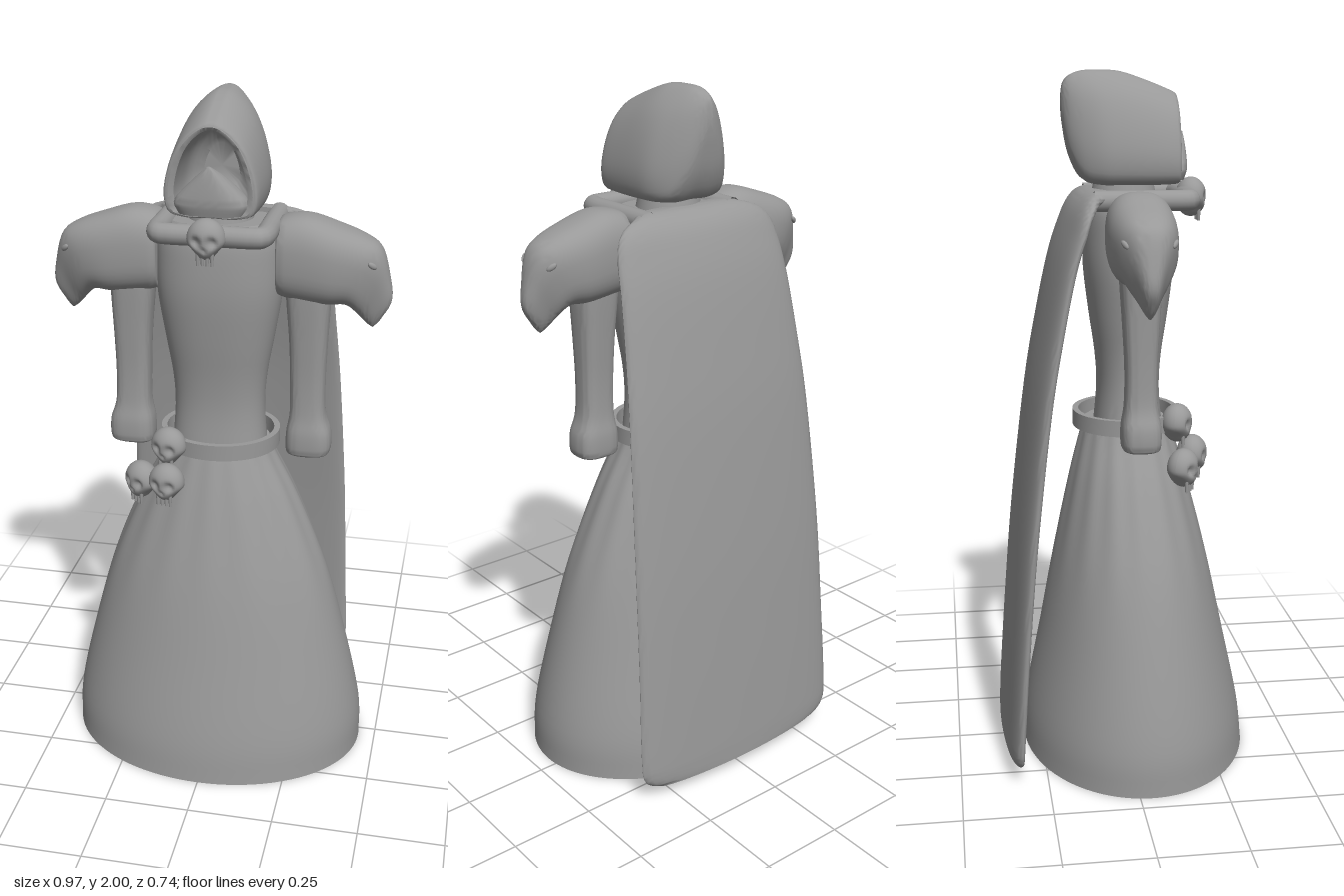
import * as THREE from 'three';
import { toCreasedNormals } from 'three/addons/utils/BufferGeometryUtils.js';

const grey = new THREE.MeshStandardMaterial({ color: 0x999999, side: THREE.DoubleSide });
grey.name = 'stone grey';

const V = (x, y, z) => new THREE.Vector3(x, y, z);
const spow = (v, e) => Math.sign(v) * Math.abs(v) ** e;

function add(parent, name, geometry) {
  const mesh = new THREE.Mesh(geometry, grey);
  mesh.name = name;
  parent.add(mesh);
  return mesh;
}

// Smoothly resample a short table of section rows
function resample(rows, n) {
  const curve = new THREE.CubicInterpolant(rows.map((_, i) => i), rows.flat(), rows[0].length, []);
  return Array.from({ length: n + 1 }, (_, i) => [...curve.evaluate((i / n) * (rows.length - 1))]);
}

// Skin a list of closed rings, with optional end caps
function loft(rings, capStart = true, capEnd = true, crease = 0.8) {
  const n = rings[0].length, index = [], points = rings.flat();
  for (let r = 0; r < rings.length - 1; r++) {
    for (let i = 0; i < n; i++) {
      const a = r * n + i, b = r * n + (i + 1) % n;
      index.push(a, a + n, b, b, a + n, b + n);
    }
  }
  const cap = (r, flip) => {
    const c = points.length;
    points.push(rings[r].reduce((s, p) => s.add(p), V(0, 0, 0)).divideScalar(n));
    for (let i = 0; i < n; i++) {
      const a = r * n + i, b = r * n + (i + 1) % n;
      index.push(c, flip ? b : a, flip ? a : b);
    }
  };
  if (capStart) cap(0, false);
  if (capEnd) cap(rings.length - 1, true);
  const g = new THREE.BufferGeometry().setFromPoints(points);
  g.setIndex(index);
  return toCreasedNormals(g, crease);
}

// Horizontal ring; e below 1 makes it boxier, ripple adds folds
function ring(cx, y, cz, rx, rz, e = 1, ripple = 0, n = 48) {
  return Array.from({ length: n }, (_, i) => {
    const t = (i / n) * Math.PI * 2, k = 1 + ripple * Math.cos(t * 16);
    return V(cx + rx * k * spow(Math.cos(t), e), y, cz + rz * k * spow(Math.sin(t), e));
  });
}

function skull() {
  const group = new THREE.Group();
  const g = new THREE.SphereGeometry(1, 36, 28), p = g.attributes.position, v = V(0, 0, 0);
  const pits = [[-0.4, -0.02, 0.9, 0.24, 0.4], [0.4, -0.02, 0.9, 0.24, 0.4], [0, -0.38, 0.9, 0.13, 0.2]];
  for (let i = 0; i < p.count; i++) {
    v.fromBufferAttribute(p, i);
    const low = THREE.MathUtils.smoothstep(-v.y, 0.05, 0.75);
    let z = v.z;
    for (const [x, y, pz, r, depth] of pits) {
      z -= depth * Math.exp(-(((v.x - x) ** 2 + (v.y - y) ** 2 + (v.z - pz) ** 2) / (r * r)));
    }
    p.setXYZ(i, v.x * (1 - 0.3 * low) * 0.053, v.y * 0.056, z * 0.045);
  }
  g.computeVertexNormals();
  add(group, 'cranium', g);
  for (let i = -1.5; i <= 1.5; i++) {
    add(group, 'tooth', new THREE.CylinderGeometry(0.006, 0.004, 0.035, 8)).position.set(i * 0.013, -0.05, 0.02);
  }
  return group;
}

export function createModel() {
  const model = new THREE.Group();
  model.name = 'hoodedFigure';

  // Hollow skirt: inside wall up, then outside wall from hem to waist
  const skirtRows = resample([[0, 0.45, 0.335, 0.036], [0.13, 0.444, 0.322, 0.034], [0.35, 0.395, 0.277, 0.032],
    [0.6, 0.325, 0.227, 0.028], [0.82, 0.235, 0.175, 0.022], [0.95, 0.168, 0.14, 0.018], [1.0, 0.145, 0.125, 0.016]], 30);
  const outer = skirtRows.map(([y, rx, rz, z]) => ring(0, y, z, rx, rz, 1, 0.012 * THREE.MathUtils.smoothstep(y, 0.45, 0.85), 96));
  const inner = skirtRows.map(([y, rx, rz, z]) => ring(0, y * 0.98, z, rx - 0.015, rz - 0.015, 1, 0, 96)).reverse();
  add(model, 'skirt', loft([...inner, ...outer]));

  // Torso and neck
  const torsoRows = resample([[0.98, 0.14, 0.1], [1.1, 0.131, 0.09], [1.2, 0.136, 0.095], [1.32, 0.156, 0.112],
    [1.45, 0.176, 0.127], [1.55, 0.178, 0.127], [1.62, 0.172, 0.12], [1.66, 0.145, 0.1]], 28);
  add(model, 'torso', loft(torsoRows.map(([y, rx, rz]) => ring(0, y, 0.022, rx, rz, 0.85))));
  add(model, 'neck', new THREE.CylinderGeometry(0.08, 0.1, 0.1, 32)).position.set(0, 1.67, 0.01);

  // Belt band
  const beltProfile = [[0.985, 0], [1.032, 0], [1.032, 0.017], [0.985, 0.017], [0.985, 0]];
  add(model, 'belt', loft(beltProfile.map(([y, d]) => ring(0, y, 0.016, 0.175 - d, 0.156 - d)), false, false));

  // Hood: pointed-arch sections from the cavity, over the rim, to the back
  const half = [[0, 0], [0.6, 0], [0.93, 0.07], [1, 0.25], [0.9, 0.52], [0.66, 0.78], [0.28, 0.96]];
  const arch = new THREE.CatmullRomCurve3([...half.map(([x, y]) => V(x, y, 0)), V(0, 1, 0),
    ...half.slice(1).reverse().map(([x, y]) => V(-x, y, 0))], true).getPoints(56).slice(0, -1);
  const section = ([z, w, y0, y1]) => arch.map((p) => V(p.x * w, y0 + p.y * (y1 - y0), z));
  const cavity = resample([[0.0, 0.05, 1.75, 1.86], [0.04, 0.085, 1.715, 1.905], [0.1, 0.096, 1.708, 1.918], [0.15, 0.1, 1.705, 1.922]], 9);
  const shell = resample([[0.158, 0.115, 1.695, 1.932], [0.148, 0.128, 1.69, 1.942], [0.08, 0.134, 1.688, 1.97], [0, 0.135, 1.688, 1.996],
    [-0.06, 0.127, 1.69, 2.0], [-0.11, 0.1, 1.705, 1.998], [-0.145, 0.064, 1.77, 1.985], [-0.162, 0.03, 1.85, 1.965], [-0.168, 0.008, 1.9, 1.93]], 32);
  add(model, 'hood', loft([...cavity, ...shell].map(section)));

  // Peaked mask inside the hood opening
  const mask = resample([[1.7, 0.09, 0.135, 0.045], [1.73, 0.102, 0.135, 0.053], [1.76, 0.08, 0.138, 0.05],
    [1.8, 0.04, 0.15, 0.034], [1.832, 0.004, 0.172, 0.006]], 12);
  add(model, 'mask', loft(mask.map(([y, rx, z, rz]) => ring(0, y, z, rx, rz, 0.8))));

  // Round collar bar in a squared U
  const side = [[0.148, -0.09], [0.148, 0], [0.148, 0.08], [0.147, 0.15], [0.138, 0.175], [0.11, 0.181], [0.04, 0.181]];
  const bar = [...side.map(([x, z]) => V(x, 1.65, z)), ...[...side].reverse().map(([x, z]) => V(-x, 1.65, z))];
  add(model, 'collar', new THREE.TubeGeometry(new THREE.CatmullRomCurve3(bar), 90, 0.029, 16));

  // Cape: thin bowed slab swept from the shoulders down; rows are y, z, half width
  const cape = resample([[1.655, -0.05, 0.165], [1.655, -0.085, 0.19], [1.638, -0.115, 0.243], [1.59, -0.145, 0.275], [1.48, -0.183, 0.29],
    [1.3, -0.222, 0.305], [1.08, -0.26, 0.322], [0.72, -0.303, 0.342], [0.42, -0.329, 0.352], [0.15, -0.348, 0.361],
    [0.075, -0.352, 0.35], [0.042, -0.353, 0.3]], 66);
  add(model, 'cape', loft(cape.map(([y, z, w], i) => {
    const a = cape[Math.max(i - 1, 0)], b = cape[Math.min(i + 1, cape.length - 1)];
    const dy = b[0] - a[0], dz = b[1] - a[1], len = Math.hypot(dy, dz);
    const bow = 0.024 * Math.min(1, i / 20), thick = i > cape.length - 4 ? 0.012 : 0.019;
    return Array.from({ length: 56 }, (_, k) => {
      const t = (k / 56) * Math.PI * 2, s = Math.cos(t);
      const off = Math.sign(Math.sin(t)) * thick * Math.sqrt(Math.max(0, 1 - s ** 8));
      return V(s * w, y - (dz / len) * off, z + (dy / len) * off + bow * s * s);
    });
  })));

  // Arms and beaked shoulder guards, mirrored
  const armRows = resample([[0.972, 0.258, 0.05, 0.042], [0.985, 0.262, 0.064, 0.054], [1.04, 0.262, 0.064, 0.055], [1.1, 0.258, 0.051, 0.046],
    [1.2, 0.256, 0.05, 0.044], [1.32, 0.255, 0.054, 0.05], [1.45, 0.252, 0.062, 0.058], [1.54, 0.25, 0.062, 0.06]], 32);
  // Rows: top edge x, y, bottom edge x, y, half depth
  const guardRows = resample([[0.166, 1.65, 0.166, 1.47, 0.07], [0.175, 1.672, 0.175, 1.452, 0.085], [0.245, 1.682, 0.24, 1.44, 0.093], [0.33, 1.658, 0.305, 1.435, 0.093],
    [0.405, 1.63, 0.355, 1.437, 0.08], [0.45, 1.597, 0.385, 1.415, 0.06], [0.474, 1.52, 0.402, 1.395, 0.037], [0.482, 1.45, 0.42, 1.378, 0.02], [0.452, 1.392, 0.432, 1.37, 0.006]], 36);
  for (const s of [1, -1]) {
    const limb = new THREE.Group();
    limb.name = s > 0 ? 'leftArm' : 'rightArm';
    limb.scale.x = s;
    model.add(limb);
    add(limb, 'arm', loft(armRows.map(([y, x, rx, rz]) => ring(x, y, 0.024, rx, rz, 0.65))));
    add(limb, 'shoulderGuard', loft(guardRows.map(([tx, ty, bx, by, d]) => Array.from({ length: 40 }, (_, i) => {
      const t = (i / 40) * Math.PI * 2, k = (1 + spow(Math.cos(t), 0.75)) / 2;
      return V(bx + (tx - bx) * k, by + (ty - by) * k, 0.022 - d * spow(Math.sin(t), 0.75));
    }))));
    for (const f of [1, -1]) {
      const eye = add(limb, 'guardEye', new THREE.SphereGeometry(1, 16, 10));
      eye.scale.set(0.016, 0.008, 0.006);
      eye.position.set(0.43, 1.565, 0.022 + f * 0.066);
      eye.rotation.set(0, f * 0.6, -0.6);
    }
  }

  // Clasp skull and the cluster hanging from the belt: x, y, z, turn
  [[0, 1.648, 0.205, 0], [-0.125, 1.012, 0.15, -0.3], [-0.122, 0.918, 0.195, -0.2], [-0.207, 0.9, 0.155, -0.6]].forEach(([x, y, z, turn], i) => {
    const s = skull();
    s.name = i ? 'beltSkull' : 'claspSkull';
    s.position.set(x, y, z);
    s.rotation.y = turn;
    model.add(s);
  });
  return model;
}
